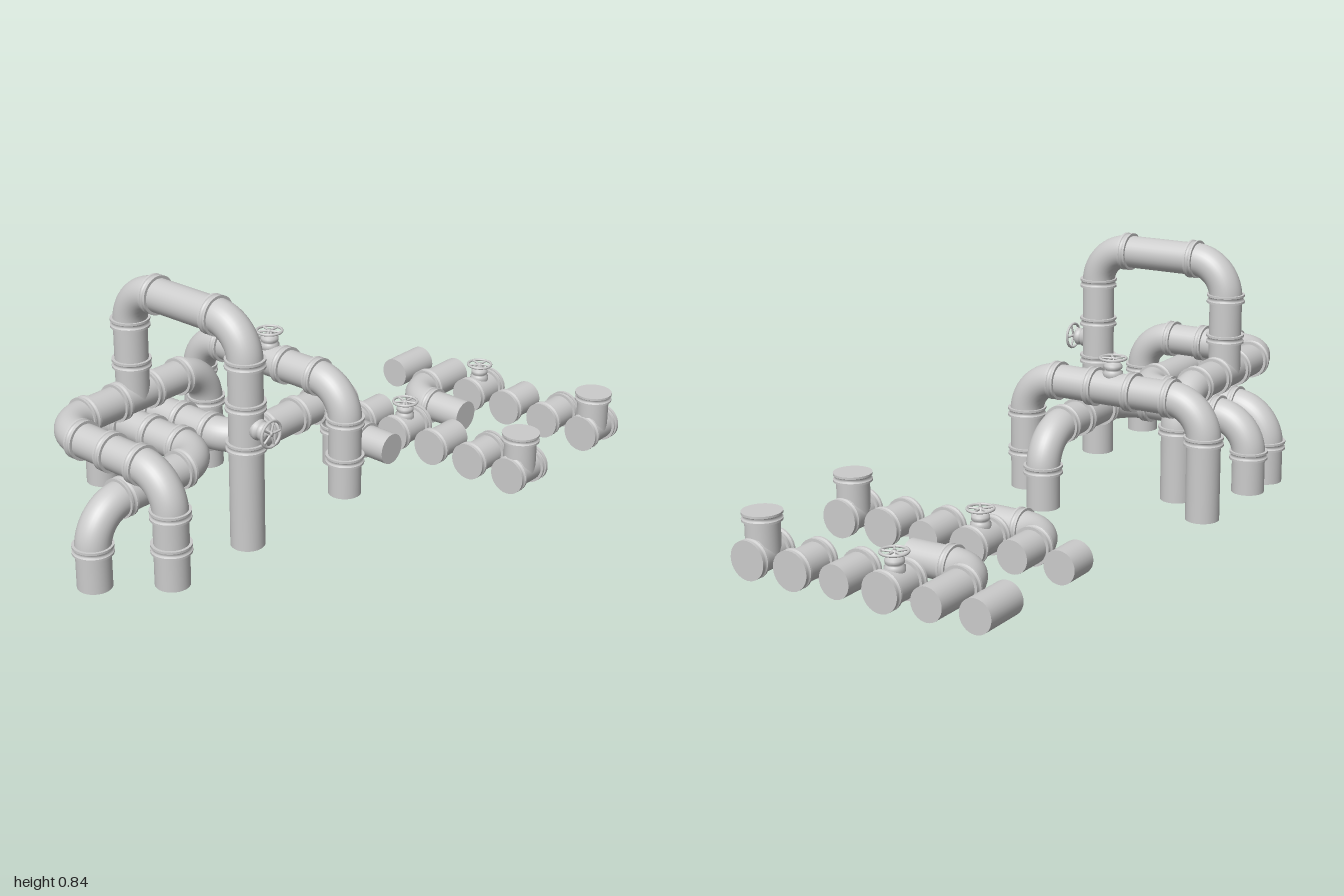
import * as THREE from 'three';

const R = 0.053;      // pipe radius
const BEND = 0.117;   // elbow centre-line radius
const SEG = 32;
const Y = new THREE.Vector3(0, 1, 0);
const mat = new THREE.MeshStandardMaterial({ color: 0xcccccc });
const V = (p) => new THREE.Vector3(...p);

// Quarter circle from a to b around the inside corner point c
class Arc extends THREE.Curve {
  constructor(a, b, c) {
    super();
    this.c = c;
    this.u = a.clone().sub(c);
    this.v = b.clone().sub(c);
  }
  getPoint(t, target = new THREE.Vector3()) {
    const k = t * Math.PI / 2;
    return target.copy(this.c).addScaledVector(this.u, Math.cos(k)).addScaledVector(this.v, Math.sin(k));
  }
}

function add(parent, name, geometry) {
  const mesh = new THREE.Mesh(geometry, mat);
  mesh.name = name;
  parent.add(mesh);
  return mesh;
}

// Closed straight pipe between two points
function straight(parent, a, b, name = 'straightPipe', r = R) {
  const d = b.clone().sub(a);
  const mesh = add(parent, name, new THREE.CylinderGeometry(r, r, d.length(), SEG));
  mesh.position.copy(a).addScaledVector(d, 0.5);
  mesh.quaternion.setFromUnitVectors(Y, d.normalize());
}

// Collar made of two rims with a groove between; outer edges doubled to stay crisp
const collarProfile = [
  [0.051, -0.014], [0.062, -0.014], [0.062, -0.014], [0.062, -0.007], [0.062, -0.007],
  [0.057, -0.004], [0.057, 0.004], [0.062, 0.007], [0.062, 0.007], [0.062, 0.014],
  [0.062, 0.014], [0.051, 0.014],
].map(([x, y]) => new THREE.Vector2(x, y));
const collarGeometry = new THREE.LatheGeometry(collarProfile, SEG);

function collar(parent, p, dir) {
  const mesh = add(parent, 'collar', collarGeometry);
  mesh.position.copy(p);
  mesh.quaternion.setFromUnitVectors(Y, dir.clone().normalize());
}

// Pipe through corner points, with an elbow and two collars at every corner
function pipeRun(parent, name, corners, collars = []) {
  const run = new THREE.Group();
  run.name = name;
  parent.add(run);
  const pts = corners.map(V);
  let from = pts[0];
  for (let i = 1; i < pts.length - 1; i++) {
    const p = pts[i];
    const back = pts[i - 1].clone().sub(p).normalize();
    const ahead = pts[i + 1].clone().sub(p).normalize();
    const a = p.clone().addScaledVector(back, BEND);
    const b = p.clone().addScaledVector(ahead, BEND);
    const c = a.clone().addScaledVector(ahead, BEND);
    straight(run, from, a);
    add(run, 'elbow', new THREE.TubeGeometry(new Arc(a, b, c), 16, R + 0.001, SEG));
    collar(run, a, back);
    collar(run, b, ahead);
    from = b;
  }
  straight(run, from, pts[pts.length - 1]);
  for (const [p, d] of collars) collar(run, V(p), V(d));
  return run;
}

// Bonnet, stem and spoked hand wheel standing on a pipe centre, pointing along dir
function valve(parent, p, dir) {
  const g = new THREE.Group();
  g.name = 'valve';
  const profile = [[0, 0.03], [0.032, 0.03], [0.032, 0.056], [0.024, 0.06], [0.024, 0.066],
    [0.029, 0.068], [0.029, 0.078], [0.022, 0.086], [0.009, 0.089], [0.007, 0.104], [0, 0.104]];
  add(g, 'bonnet', new THREE.LatheGeometry(profile.map(([x, y]) => new THREE.Vector2(x, y)), 24));
  const wheel = add(g, 'handWheel', new THREE.TorusGeometry(0.041, 0.0045, 8, 28));
  wheel.rotation.x = Math.PI / 2;
  wheel.position.y = 0.1;
  for (let i = 0; i < 5; i++) {
    const k = i * Math.PI * 2 / 5;
    straight(g, V([0, 0.099, 0]), V([0.041 * Math.cos(k), 0.1, 0.041 * Math.sin(k)]), 'spoke', 0.0035);
  }
  g.position.copy(V(p));
  g.quaternion.setFromUnitVectors(Y, V(dir));
  parent.add(g);
}

// One row of loose fittings lying on the ground, ending at x = end
function fittingSet(parent, end, len, leg) {
  const g = new THREE.Group();
  g.name = 'fittingSet';
  parent.add(g);
  const y = 0.064, start = end - 0.145, mid = end - 0.075;
  const X = V([1, 0, 0]);
  const left = (z) => collar(g, V([start + 0.014, y, z]), X);
  const right = (z) => collar(g, V([end - 0.014, y, z]), X);
  const body = (z, name) => straight(g, V([start, y, z]), V([end, y, z]), name);

  straight(g, V([end - len, y, -0.322]), V([end, y, -0.322]), 'shortPipe');
  const bendX = end - len - 0.13;
  pipeRun(g, 'elbowPipe', [[end, y, -0.16], [bendX, y, -0.16], [bendX, y, leg]]);
  body(0, 'valveBody'); left(0); right(0);
  valve(g, [mid, y, 0], [0, 1, 0]);
  body(0.16, 'collaredPipe'); left(0.16);
  body(0.32, 'coupling'); left(0.32); right(0.32);
  body(0.48, 'teeBody'); left(0.48); right(0.48);
  straight(g, V([mid, y, 0.48]), V([mid, 0.198, 0.48]), 'teeBranch');
  collar(g, V([mid, 0.184, 0.48]), Y);
  // flat end plates on the collared fittings
  for (const z of [0, 0.32, 0.48])
    straight(g, V([end - 0.01, y, z]), V([end, y, z]), 'endPlate', 0.062);
}

export function createModel() {
  const model = new THREE.Group();
  model.name = 'pipework';
  const x = [1, 0, 0], y = [0, 1, 0], z = [0, 0, 1];
  const foot = 0.068;

  // Lower left run
  pipeRun(model, 'lowerLeftRun', [
    [-0.938, foot, 0], [-0.938, 0.31, 0], [-0.462, 0.31, 0], [-0.462, 0.31, -0.482], [-0.462, foot, -0.482],
  ], [[[-0.462, 0.31, -0.24], z]]);

  // Upper left run
  pipeRun(model, 'upperLeftRun', [
    [-0.78, foot, 0.16], [-0.78, 0.415, 0.16], [-0.78, 0.415, -0.322], [-0.142, 0.415, -0.322], [-0.142, foot, -0.322],
  ], [
    [[-0.78, 0.19, 0.16], y], [[-0.78, 0.415, -0.08], z],
    [[-0.53, 0.415, -0.322], x], [[-0.39, 0.415, -0.322], x],
  ]);

  // Tall arch with a side-facing valve, dropping into the upper left run
  const arch = pipeRun(model, 'tallArch', [
    [-0.462, foot, 0.16], [-0.462, 0.781, 0.16], [-0.462, 0.781, -0.322], [-0.462, 0.415, -0.322],
  ], [[[-0.462, 0.4, 0.16], y], [[-0.462, 0.53, 0.16], y], [[-0.462, 0.53, -0.322], y]]);
  valve(arch, [-0.462, 0.465, 0.16], z);

  // Lower right run
  pipeRun(model, 'lowerRightRun', [
    [0.146, foot, 0], [0.146, 0.31, 0], [-0.33, 0.31, 0], [-0.33, 0.31, -0.482], [-0.33, foot, -0.482],
  ], [[[-0.07, 0.31, 0], x], [[-0.33, 0.31, -0.24], z]]);

  // Bridge with an upright valve
  const bridge = pipeRun(model, 'valveBridge', [
    [-0.011, foot, 0.16], [-0.011, 0.438, 0.16], [-0.011, 0.438, -0.482], [-0.011, foot, -0.482],
  ], [[[-0.011, 0.19, 0.16], y], [[-0.011, 0.438, -0.092], z], [[-0.011, 0.438, -0.23], z]]);
  valve(bridge, [-0.011, 0.438, -0.16], y);

  // Loose fittings
  fittingSet(model, 0.572, 0.105, 0.072);
  fittingSet(model, 0.999, 0.158, 0.1);
  // the second set's elbow sits at the same pitch as its longer pipe

  return model;
}
